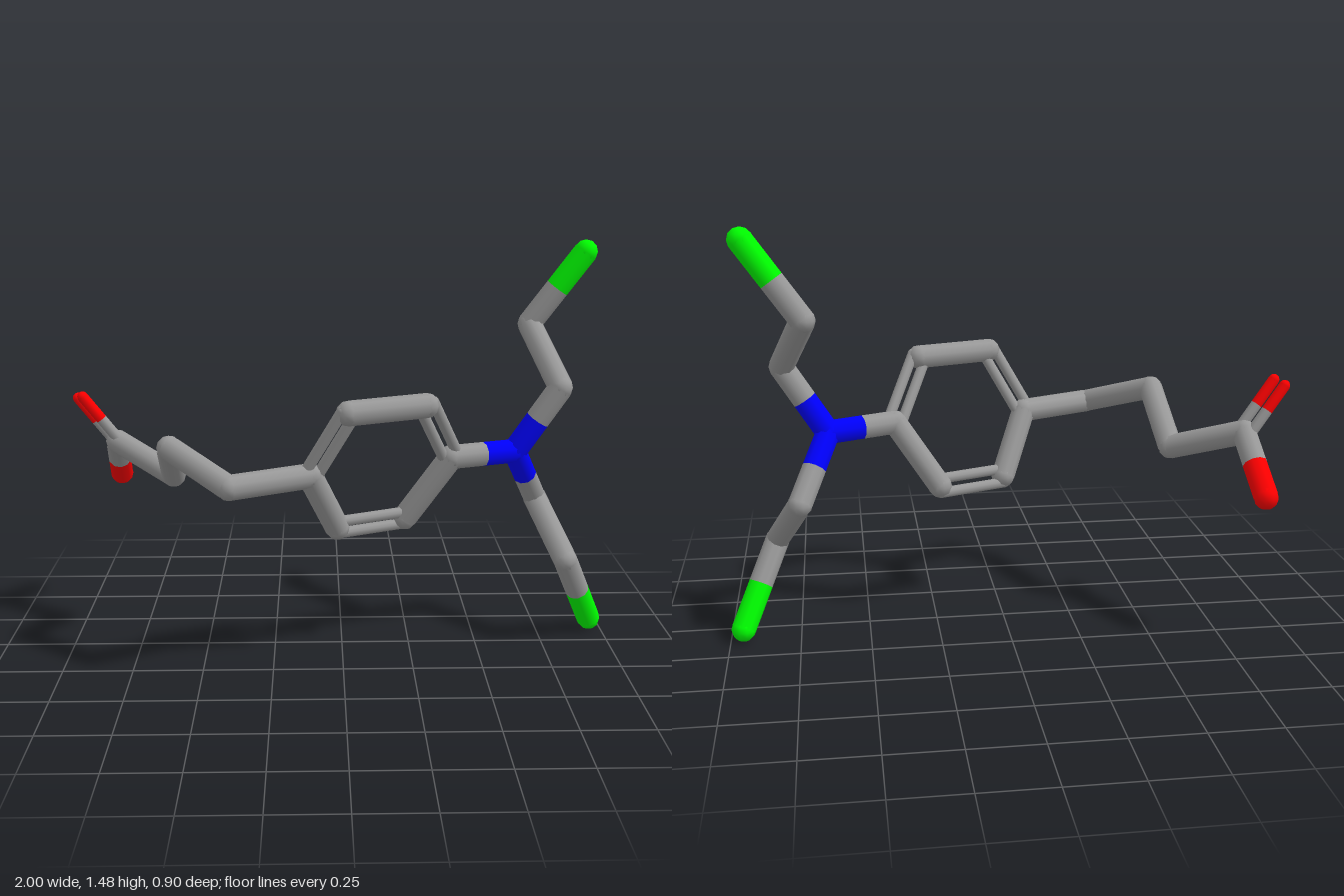
import * as THREE from 'three';

const R = 0.044;      // single stick radius
const THIN = 0.02;    // double stick radius
const UP = new THREE.Vector3(0, 1, 0);

const materials = {
  carbon: new THREE.MeshStandardMaterial({ color: 0x999999 }),
  nitrogen: new THREE.MeshStandardMaterial({ color: 0x0000ff }),
  oxygen: new THREE.MeshStandardMaterial({ color: 0xff0000 }),
  chlorine: new THREE.MeshStandardMaterial({ color: 0x00ff00 }),
};

// name: [element, x, y, z]
const atoms = {
  acidCarbon: ['carbon', -0.84, 0.73, -0.20],
  acidHydroxyl: ['oxygen', -0.86, 0.552, -0.408],
  acidOxygen: ['oxygen', -0.968, 0.903, -0.18],
  chain1: ['carbon', -0.615, 0.64, -0.04],
  chain2: ['carbon', -0.60, 0.805, 0.215],
  chain3: ['carbon', -0.385, 0.715, 0.405],
  ring1: ['carbon', -0.115, 0.718, 0.27],
  ring2: ['carbon', 0.015, 0.947, 0.32],
  ring3: ['carbon', 0.287, 0.95, 0.213],
  ring4: ['carbon', 0.388, 0.735, 0.088],
  ring5: ['carbon', 0.228, 0.498, 0.045],
  ring6: ['carbon', -0.02, 0.495, 0.152],
  amine: ['nitrogen', 0.63, 0.732, -0.01],
  upperArm1: ['carbon', 0.785, 0.97, 0.012],
  upperArm2: ['carbon', 0.70, 1.17, -0.205],
  upperTip: ['chlorine', 0.893, 1.437, -0.177],
  lowerArm1: ['carbon', 0.735, 0.515, -0.165],
  lowerArm2: ['carbon', 0.825, 0.325, 0.035],
  lowerTip: ['chlorine', 0.953, 0.04, -0.115],
};

const singleBonds = [
  ['acidCarbon', 'acidHydroxyl'], ['acidCarbon', 'chain1'], ['chain1', 'chain2'],
  ['chain2', 'chain3'], ['chain3', 'ring1'],
  ['ring2', 'ring3'], ['ring4', 'ring5'], ['ring6', 'ring1'],
  ['ring4', 'amine'],
  ['amine', 'upperArm1'], ['upperArm1', 'upperArm2'], ['upperArm2', 'upperTip'],
  ['amine', 'lowerArm1'], ['lowerArm1', 'lowerArm2'], ['lowerArm2', 'lowerTip'],
];

// Third entry: an atom that fixes the plane holding the two thin sticks
const doubleBonds = [
  ['ring1', 'ring2', 'ring4'], ['ring3', 'ring4', 'ring1'], ['ring5', 'ring6', 'ring2'],
  ['acidCarbon', 'acidOxygen', 'acidHydroxyl'],
];

const position = (name) => new THREE.Vector3(...atoms[name].slice(1));

// Open cylinder running from a to b
function stick(name, a, b, radius, material) {
  const dir = b.clone().sub(a);
  const mesh = new THREE.Mesh(new THREE.CylinderGeometry(radius, radius, dir.length(), 10, 1, true), material);
  mesh.position.copy(a).add(b).multiplyScalar(0.5);
  mesh.quaternion.setFromUnitVectors(UP, dir.normalize());
  mesh.name = name;
  return mesh;
}

function ball(name, p, radius, material) {
  const mesh = new THREE.Mesh(new THREE.SphereGeometry(radius, 10, 6), material);
  mesh.position.copy(p);
  mesh.name = name;
  return mesh;
}

// Two half sticks, each in the colour of its own end
function bond(from, to, radius, offset = new THREE.Vector3()) {
  const group = new THREE.Group();
  group.name = `${from}To${to[0].toUpperCase()}${to.slice(1)}Bond`;
  const a = position(from).add(offset);
  const b = position(to).add(offset);
  const mid = a.clone().lerp(b, 0.5);
  const matA = materials[atoms[from][0]];
  const matB = materials[atoms[to][0]];
  group.add(stick('firstHalf', a, mid, radius, matA), stick('secondHalf', mid, b, radius, matB));
  if (radius === THIN) {
    group.add(ball('firstEnd', a, radius, matA), ball('secondEnd', b, radius, matB));
  }
  return group;
}

export function createModel() {
  const model = new THREE.Group();
  model.name = 'stickMolecule';

  // Rounded joints and tips; the double-bonded oxygen has only its thin ends
  for (const name of Object.keys(atoms)) {
    if (name === 'acidOxygen') continue;
    model.add(ball(name, position(name), R, materials[atoms[name][0]]));
  }

  for (const [from, to] of singleBonds) model.add(bond(from, to, R));

  // Paired thin sticks either side of the bond line
  for (const [from, to, guide] of doubleBonds) {
    const dir = position(to).sub(position(from)).normalize();
    const side = position(guide).sub(position(from));
    side.addScaledVector(dir, -side.dot(dir)).setLength(0.026);
    model.add(bond(from, to, THIN, side), bond(from, to, THIN, side.clone().negate()));
  }
  return model;
}
